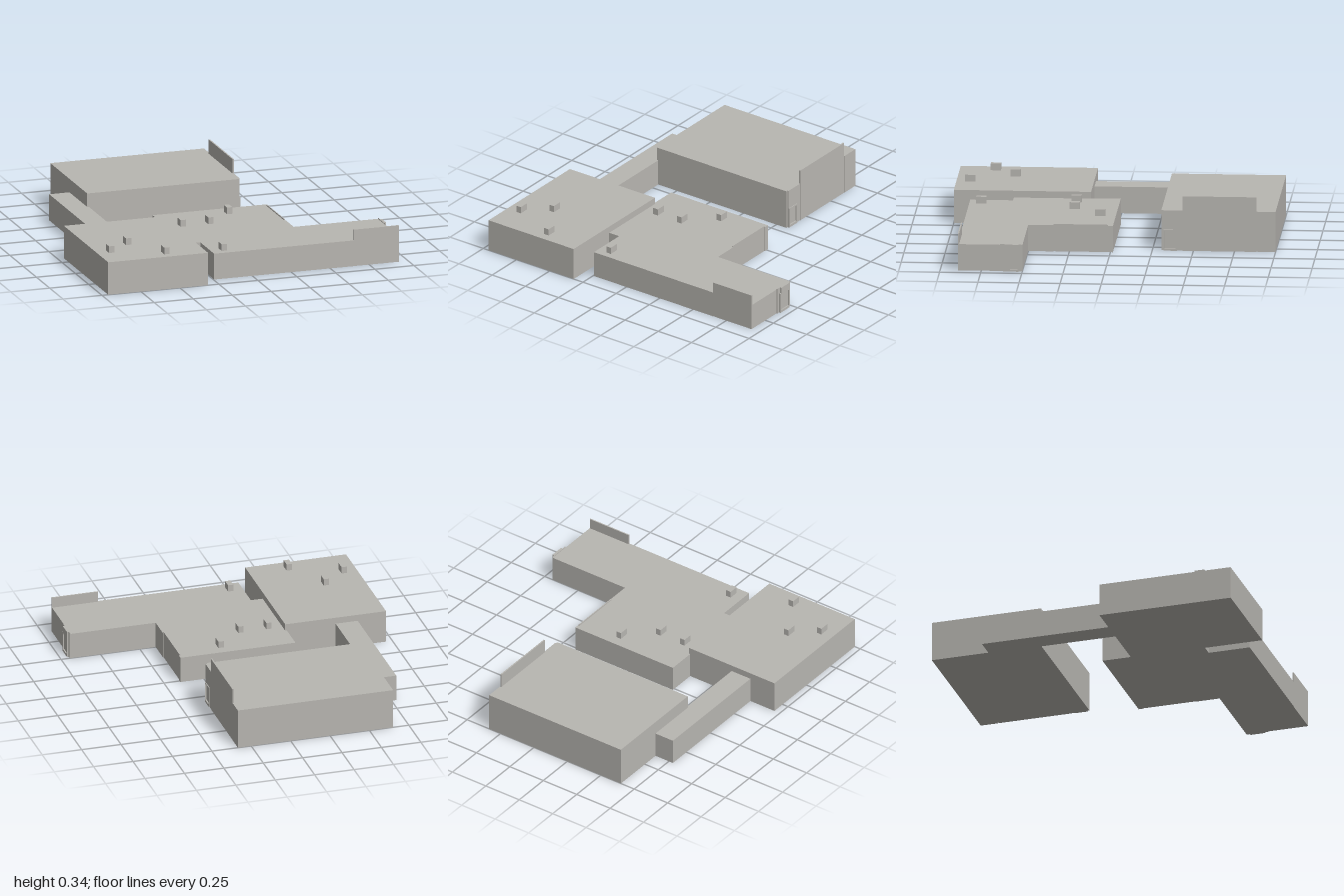
import * as THREE from 'three';

export function createModel() {
  const root = new THREE.Group();
  const concrete = new THREE.MeshStandardMaterial({ color: 0xb8b6b1 });
  concrete.name = 'warm grey';

  // Box given by its extents on each axis
  function block(name, x0, x1, y0, y1, z0, z1, parent = root) {
    const mesh = new THREE.Mesh(new THREE.BoxGeometry(x1 - x0, y1 - y0, z1 - z0), concrete);
    mesh.position.set((x0 + x1) / 2, (y0 + y1) / 2, (z0 + z1) / 2);
    mesh.name = name;
    parent.add(mesh);
    return mesh;
  }

  // Flat-roofed building extruded upward from an [x, z] footprint
  function building(name, points, height) {
    const shape = new THREE.Shape(points.map(([x, z]) => new THREE.Vector2(x, -z)));
    const geometry = new THREE.ExtrudeGeometry(shape, { depth: height, bevelEnabled: false });
    geometry.rotateX(-Math.PI / 2);
    const mesh = new THREE.Mesh(geometry, concrete);
    mesh.name = name;
    root.add(mesh);
  }

  // Entrance on a +x wall: two side posts, lintel, sill and door leaf
  function entrance(name, x, z0, z1, y1, depth) {
    const group = new THREE.Group();
    group.name = name;
    const t = 0.008;
    block('doorPostBack', x, x + depth, 0, y1, z0, z0 + t, group);
    block('doorPostFront', x, x + depth, 0, y1, z1 - t, z1, group);
    block('doorLintel', x, x + depth, y1 - t, y1, z0 + t, z1 - t, group);
    block('doorSill', x, x + depth, 0, 0.015, z0 + t, z1 - t, group);
    block('doorLeaf', x, x + 0.003, 0.015, y1 - t, z0 + t, z1 - t, group);
    root.add(group);
  }

  // Rear hall, its wall recessed behind the tall sign panel
  building('rearHall', [
    [-0.65, -0.305], [0.325, -0.305], [0.325, -0.89], [0.335, -0.89], [0.335, -1], [-0.65, -1],
  ], 0.25);
  block('rearSignPanel', 0.325, 0.334, 0, 0.34, -0.885, -0.435);
  block('rearPilaster', 0.325, 0.332, 0, 0.25, -0.435, -0.4);
  entrance('rearEntrance', 0.325, -0.4, -0.318, 0.13, 0.012);
  block('rearTransom', 0.325, 0.332, 0.13, 0.25, -0.4, -0.318);

  // Linking corridor and side block
  block('corridor', -0.78, -0.64, 0, 0.165, -0.64, 0.165);
  block('sideBlock', -0.96, -0.32, 0, 0.205, 0.165, 1);

  // Main wing, stepped in plan with a shallow recess in one wall
  building('mainWing', [
    [-0.33, -0.015], [-0.33, 0.635], [-0.245, 0.635], [-0.245, 0.895], [0.65, 0.895],
    [0.65, 0.885], [0.94, 0.885], [0.94, 0.5], [0.4, 0.5], [0.4, 0.345],
    [0.39, 0.345], [0.39, 0.015], [0.4, 0.015], [0.4, -0.015],
  ], 0.163);
  block('recessPanel', 0.39, 0.396, 0, 0.17, 0.015, 0.345);
  block('frontSignPanel', 0.65, 0.94, 0, 0.23, 0.885, 0.893);
  block('entranceSurround', 0.94, 0.945, 0, 0.168, 0.505, 0.635);
  entrance('frontEntrance', 0.945, 0.522, 0.617, 0.13, 0.011);
  block('entranceCanopy', 0.945, 0.956, 0.13, 0.168, 0.522, 0.608);

  // Rooftop vents: [x, z, roof height]
  [
    [-0.72, 0.65, 0.205], [-0.873, 0.78, 0.205], [-0.565, 0.915, 0.205],
    [-0.233, 0.247, 0.163], [-0.055, 0.247, 0.163], [0.122, 0.08, 0.163], [-0.165, 0.822, 0.163],
  ].forEach(([x, z, y]) =>
    block('roofVent', x - 0.017, x + 0.017, y, y + 0.042, z - 0.031, z + 0.031));

  return root;
}
